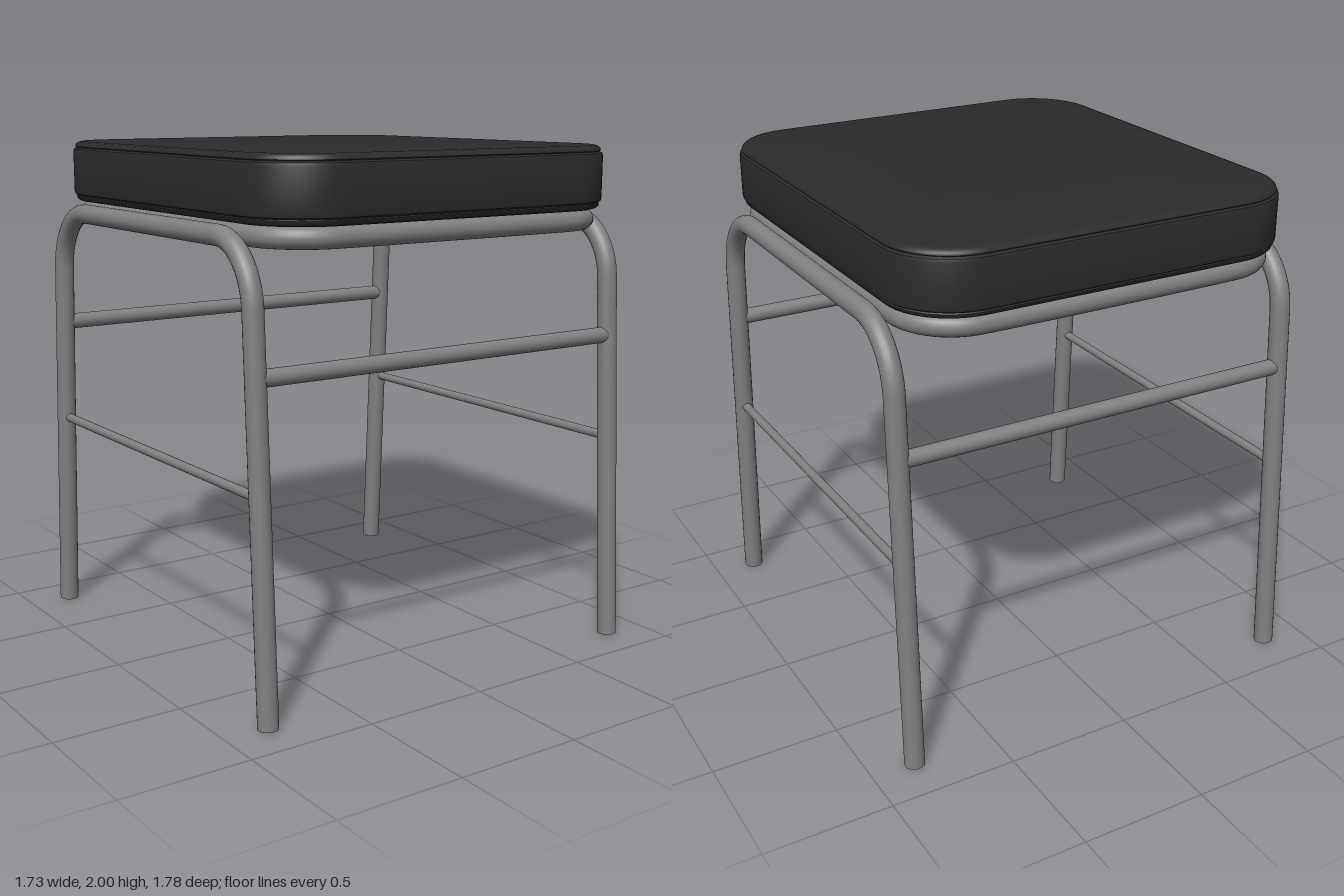
import * as THREE from 'three';
import { toCreasedNormals } from 'three/addons/utils/BufferGeometryUtils.js';

const V = (x, y, z) => new THREE.Vector3(x, y, z);

// Points around a rounded rectangle, as [x, z], running from +x towards +z
function roundedOutline(hx, hz, r, steps = 14) {
  const pts = [];
  [[1, 1], [-1, 1], [-1, -1], [1, -1]].forEach(([sx, sz], q) => {
    for (let i = 0; i <= steps; i++) {
      const a = (q + i / steps) * Math.PI / 2;
      pts.push([sx * (hx - r) + r * Math.cos(a), sz * (hz - r) + r * Math.sin(a)]);
    }
  });
  return pts;
}

// Cushion: rounded rectangle cross-sections stacked along an edge profile
function cushionGeometry() {
  const edge = [[0.035, 0], [0.02, 0.004], [0.011, 0.012], [0.009, 0.021], [0.013, 0.025], [0.003, 0.031], [0, 0.042]];
  const profile = [
    ...edge.map(([inset, h]) => [inset, 1.755 + h]),
    ...edge.map(([inset, h]) => [inset, 2 - h]).reverse(),
  ];
  const pos = [], idx = [];
  let n = 0;
  profile.forEach(([inset, y]) => {
    const ring = roundedOutline(0.805 - inset, 0.89 - inset, 0.27 - inset);
    n = ring.length;
    ring.forEach(([x, z]) => pos.push(x, y, z));
  });
  const top = (profile.length - 1) * n, c0 = profile.length * n, c1 = c0 + 1;
  pos.push(0, 1.755, 0, 0, 2, 0);
  for (let j = 0; j < n; j++) {
    const k = (j + 1) % n;
    for (let i = 0; i < profile.length - 1; i++) {
      const a = i * n + j, b = i * n + k;
      idx.push(a, a + n, b, b, a + n, b + n);
    }
    idx.push(c0, j, k, c1, top + k, top + j);
  }
  const g = new THREE.BufferGeometry();
  g.setAttribute('position', new THREE.Float32BufferAttribute(pos, 3));
  g.setIndex(idx);
  return toCreasedNormals(g, 0.7);
}

export function createModel() {
  const model = new THREE.Group();
  model.name = 'stool';
  const seatMat = new THREE.MeshStandardMaterial({ color: 0x2b2b2b });
  seatMat.name = 'black upholstery';
  const metalMat = new THREE.MeshStandardMaterial({ color: 0x808080 });
  metalMat.name = 'grey metal';

  const add = (parent, name, geometry, material) => {
    const mesh = new THREE.Mesh(geometry, material);
    mesh.name = name;
    parent.add(mesh);
    return mesh;
  };

  add(model, 'seatCushion', cushionGeometry(), seatMat);

  // Tubular ring under the cushion
  const ringPts = roundedOutline(0.745, 0.825, 0.22, 8).map(([x, z]) => V(x, 1.715, z));
  const ringCurve = new THREE.CatmullRomCurve3(ringPts, true);
  add(model, 'seatRing', new THREE.TubeGeometry(ringCurve, 200, 0.04, 20, true), metalMat);

  // Bent leg frames, one on each side
  const legZ = (y) => 0.83 - 0.05 * y;
  const legR = 0.039;
  for (const s of [1, -1]) {
    const frame = new THREE.Group();
    frame.name = s > 0 ? 'leftLegFrame' : 'rightLegFrame';
    const x = 0.828 * s;
    const path = new THREE.CurvePath();
    const bendY = 1.48, topY = 1.715, topZ = 0.53;
    const cornerZ = legZ(topY);
    const mix = (a, b) => a + (b - a) * 0.56;
    const bend = (f) => [
      V(x, bendY, f * legZ(bendY)),
      V(x, mix(bendY, topY), f * mix(legZ(bendY), cornerZ)),
      V(x, topY, f * mix(topZ, cornerZ)),
      V(x, topY, f * topZ),
    ];
    const front = bend(1), back = bend(-1).reverse();
    path.add(new THREE.LineCurve3(V(x, 0.002, legZ(0)), front[0]));
    path.add(new THREE.CubicBezierCurve3(...front));
    path.add(new THREE.LineCurve3(front[3], back[0]));
    path.add(new THREE.CubicBezierCurve3(...back));
    path.add(new THREE.LineCurve3(back[3], V(x, 0.002, -legZ(0))));
    add(frame, 'legTube', new THREE.TubeGeometry(path, 160, legR, 20, false), metalMat);

    // Closed feet and side stretcher
    for (const f of [1, -1]) {
      const foot = add(frame, 'footCap', new THREE.CircleGeometry(legR, 20), metalMat);
      foot.position.set(x, 0.002, f * legZ(0));
      foot.rotation.x = Math.PI / 2 - f * 0.05;
    }
    const side = add(frame, 'sideStretcher',
      new THREE.CylinderGeometry(0.018, 0.018, 2 * legZ(0.83), 16), metalMat);
    side.rotation.x = Math.PI / 2;
    side.position.set(x, 0.83, 0);
    model.add(frame);
  }

  // Cross rails joining the two frames at front and back
  for (const f of [1, -1]) {
    const rail = add(model, f > 0 ? 'frontRail' : 'backRail',
      new THREE.CylinderGeometry(0.032, 0.032, 1.62, 20), metalMat);
    rail.rotation.z = Math.PI / 2;
    rail.position.set(0, 1.245, f * legZ(1.245));
  }
  return model;
}
